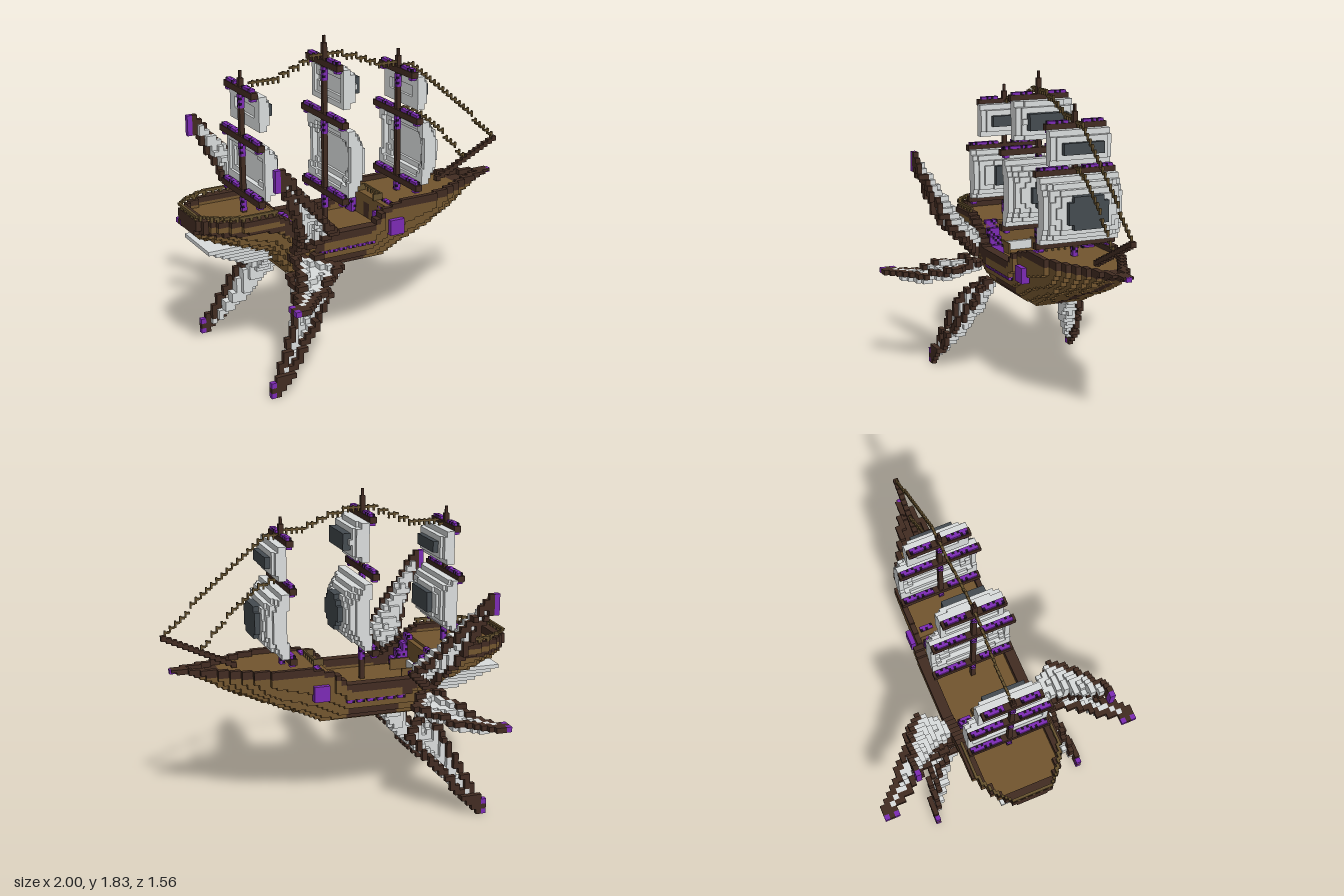
import * as THREE from 'three';
import { mergeGeometries } from 'three/addons/utils/BufferGeometryUtils.js';

const mat = (name, color) => Object.assign(new THREE.MeshStandardMaterial({ color }), { name });
const M = {
  plank: mat('plank brown', 0x73562f),
  dark: mat('dark timber', 0x422c22),
  cloth: mat('pale cloth', 0xdbdede),
  slate: mat('slate patch', 0x454c51),
  purple: mat('purple trim', 0x7d2bb6),
  black: mat('black fleck', 0x1c0f24),
  rope: mat('rope', 0x66522f),
};
const V = 0.03;

// Collects boxes by colour and turns them into one mesh per colour
function blocks(name, fill) {
  const lists = {};
  fill((c, x0, x1, y0, y1, z0, z1) => {
    const g = new THREE.BoxGeometry(x1 - x0, y1 - y0, z1 - z0);
    g.translate((x0 + x1) / 2, (y0 + y1) / 2, (z0 + z1) / 2);
    (lists[c] ||= []).push(g);
  });
  const group = new THREE.Group();
  group.name = name;
  for (const c in lists) {
    const mesh = new THREE.Mesh(mergeGeometries(lists[c]), M[c]);
    mesh.name = `${name} ${M[c].name}`;
    group.add(mesh);
  }
  return group;
}

// Fills a box with small blocks, chosen by a rule and joined into runs along x
function voxels(name, lo, hi, s, pick) {
  const n = lo.map((l, a) => Math.round((hi[a] - l) / s[a]));
  return blocks(name, (box) => {
    for (let k = 0; k < n[2]; k++) for (let j = 0; j < n[1]; j++) {
      const y = lo[1] + j * s[1], z = lo[2] + k * s[2];
      let start = 0, last = null;
      for (let i = 0; i <= n[0]; i++) {
        const c = i < n[0] ? pick(lo[0] + (i + 0.5) * s[0], y + s[1] / 2, z + s[2] / 2, i, j, k) : null;
        if (c === last) continue;
        if (last) box(last, lo[0] + start * s[0], lo[0] + i * s[0], y, y + s[1], z, z + s[2]);
        start = i;
        last = c;
      }
    }
  });
}

// Purple block speckled with black
const speckled = (name, lo, hi) => voxels(name, lo, hi, [0.015, 0.015, 0.015],
  (x, y, z, i, j, k) => ((i * 2 + j * 4 + k * 3) % 7 < 2 ? 'black' : 'purple'));

function table(rows, x) {
  if (x <= rows[0][0]) return rows[0][1];
  for (let i = 1; i < rows.length; i++) {
    const [a, p] = rows[i - 1], [b, q] = rows[i];
    if (x <= b) return p + (q - p) * (x - a) / (b - a);
  }
  return rows[rows.length - 1][1];
}

// Hull lines along the length
const top = (x) => table([[-0.58, 0.95], [-0.36, 0.78], [0, 0.78], [0.06, 0.85], [0.2, 0.885]], x);
const bottom = (x) => table([[-1, 0.87], [-0.95, 0.83], [-0.8, 0.78], [-0.6, 0.71], [-0.5, 0.6], [-0.47, 0.545],
  [0.12, 0.545], [0.25, 0.6], [0.49, 0.7], [0.7, 0.78], [0.82, 0.85], [0.95, 0.87]], x);
const plan = (x) => table([[-1, 0.11], [-0.94, 0.18], [-0.85, 0.23], [-0.77, 0.257], [0.08, 0.257], [0.12, 0.24],
  [0.42, 0.235], [0.57, 0.18], [0.66, 0.13], [0.83, 0.06], [0.95, 0.02]], x);
const deck = (x) => (x < -0.5 ? 0.9 : x < 0.1 ? 0.72 : 0.857);
function half(x, y) {
  const u = Math.max(0, (y - bottom(x)) / (top(x) - bottom(x)));
  return plan(x) * Math.min(1, 0.48 + 0.64 * Math.sqrt(u));
}

function hullRule(x, y, z) {
  const w = half(x, y), a = Math.abs(z), d = deck(x);
  if (y < bottom(x) || y > top(x) || a > Math.max(w, 0.016)) return null;
  const rim = a > w - 0.035 || x < -0.94;
  if (y > d && !rim) return null;
  if (rim && y > top(x) - 0.035) return 'dark';
  if (x < -0.94 && y > d - 0.03) return 'dark';
  if (x > 0.68 && y > 0.85) return 'dark';
  if (x > 0.1 && a < 0.016 && y < 0.82) return 'dark';
  if (x > -0.305 && x < -0.02 && y > 0.565 && y < 0.635) return 'dark';
  if (x > -0.56 && x < -0.3 && y > top(x) - 0.08 && rim) return 'dark';
  if (x < -0.5 && y > 0.86 && y < 0.89 && rim) return 'dark';
  return 'plank';
}

// Sail bulging towards the bow, with a flat octagonal slate patch on its belly
function sail(x0, y0, y1, hw, depth) {
  const yc = (y0 + y1) / 2, hy = (y1 - y0) / 2, py = hy * 0.48;
  const s = [0.015, (y1 - y0) / Math.round((y1 - y0) / V), hw / Math.round(hw / V)];
  return voxels('sail', [x0, y0, -hw], [x0 + 0.21, y1, hw], s, (x, y, z) => {
    const u = Math.abs(y - yc) / hy, w = z / hw;
    const b = Math.floor(depth * (1 - u ** 3) * (1 - 0.5 * w ** 4) / 0.015) * 0.015;
    const t = x - x0 - b, front = x - x0 - depth;
    const a = Math.abs(z) / 0.112, h = Math.abs(y - yc) / py;
    if (a < 1 && h < 1 && a + h < 1.55 && front > 0 && front < 0.04) return 'slate';
    return t > -0.04 && t < 0.025 ? 'cloth' : null;
  });
}

// Mast with yards and two sails
function mast(x, base, tip, yards, sails) {
  const g = new THREE.Group();
  g.name = 'mast';
  g.add(blocks('mast pole', (box) => {
    box('dark', x - 0.0135, x + 0.0135, base, tip - 0.04, -0.0135, 0.0135);
    box('dark', x - 0.007, x + 0.007, tip - 0.04, tip, -0.007, 0.007);
    for (const [y, hw] of yards) {
      box('dark', x - 0.02, x + 0.02, y - 0.02, y + 0.015, -hw, hw);
      for (const s of [-1, 1]) box('purple', x - 0.016, x + 0.016, y - 0.035, y - 0.02, s * hw * 0.85 - 0.015, s * hw * 0.85 + 0.015);
    }
  }));
  for (const [y, hw] of yards) {
    for (const s of [-1, 1]) {
      const z = s * (hw / 2 + 0.015), l = hw / 2 - 0.03;
      g.add(speckled('yard trim', [x - 0.015, y + 0.015, z - l], [x + 0.015, y + 0.03, z + l]));
    }
    g.add(speckled('mast band', [x - 0.015, y - 0.105, -0.015], [x + 0.015, y - 0.03, 0.015]));
  }
  for (const s of sails) g.add(sail(x + 0.02, ...s));
  return g;
}

// Wing: a span curve in y and z, filled between two dark edge lines in x, the cloth cambered inwards
function wing(name, side, span, corner, [camberY, camberZ]) {
  const curve = new THREE.CatmullRomCurve3(span.map(([y, z]) => new THREE.Vector3(0, y, z)));
  const left = [[0, -0.5], [0.3, -0.54], [0.6, -0.62], [1, -0.75]];
  const right = [[0, -0.45], [corner, -0.31], [1, -0.69]];
  const cells = new Map();
  for (let n = 0; n <= 160; n++) {
    const t = n / 160, p = curve.getPointAt(t);
    const i0 = Math.round(table(left, t) / V), i1 = Math.max(i0 + 2, Math.round(table(right, t) / V));
    const put = (c, i, f) => {
      const j = Math.floor((p.y + camberY * f) / V), k = Math.floor((p.z + camberZ * f) / V);
      const key = `${i},${j},${k}`;
      if (c !== 'cloth' || !cells.has(key)) cells.set(key, { i, j, k, c });
    };
    const taper = Math.min(1, 0.4 + 3 * t, 2.2 * (1 - t));
    for (let i = i0 + 1; i < i1 - 1; i++) {
      for (const e of [0, 0.5, 1]) put('cloth', i, taper * Math.sin(Math.PI * (i + e - i0) / (i1 - i0)));
    }
    put('dark', i0, 0);
    put('dark', i1 - 1, 0);
    if (t > 0.975) put('purple', i0, 0);
    if (t > 0.9 && t < 0.93) put('purple', i0 - 1, 0);
  }
  return blocks(name, (box) => {
    for (const { i, j, k, c } of cells.values()) {
      const z = side > 0 ? k * V : -(k + 1) * V;
      box(c, i * V, (i + 1) * V, j * V, (j + 1) * V, z, z + V);
    }
  });
}

// Stepped rope with little hanging posts
const rope = (pts) => blocks('rigging rope', (box) => {
  const x0 = pts[0][0], x1 = pts[pts.length - 1][0], n = Math.round((x1 - x0) / V), d = (x1 - x0) / n;
  for (let i = 0; i < n; i++) {
    const x = x0 + i * d, y = Math.round(table(pts, x + d / 2) / 0.025) * 0.025;
    box('rope', x, x + d, y - 0.006, y + 0.006, -0.007, 0.007);
    box('rope', x + d - 0.01, x + d, y - 0.025, y + 0.012, -0.006, 0.006);
  }
});

export function createModel() {
  const ship = new THREE.Group();
  ship.name = 'winged sailing ship';
  ship.add(voxels('hull', [-1, 0.545, -0.27], [0.95, 0.95, 0.27], [V, 0.015, V], hullRule));

  // Fence around the stern deck
  ship.add(voxels('stern fence', [-1, 0.95, -0.27], [-0.58, 0.98, 0.27], [0.015, 0.015, 0.015], (x, y, z, i, j, k) => {
    const w = plan(x), a = Math.abs(z);
    if (a > w || (a < w - 0.02 && x > -0.985)) return null;
    return j || (i + k) % 3 === 0 ? 'rope' : null;
  }));

  // Pale stepped slats under the stern
  ship.add(blocks('stern slats', (box) => {
    for (let i = 0; i < 6; i++) {
      const y = 0.755 - i * 0.022, w = 0.16 - i * 0.01;
      box('cloth', -0.95 + i * 0.045, -0.47, y, y + 0.022, -w, w);
    }
  }));

  // Bowsprit and bow tip
  ship.add(blocks('bowsprit', (box) => {
    for (let i = 0; i < 14; i++) {
      const x = 0.58 + i * 0.03, y = 0.868 + i * 0.0143;
      box('dark', x, x + 0.03, y, y + 0.03, -0.015, 0.015);
    }
    box('dark', 0.85, 0.94, 0.865, 0.89, -0.015, 0.015);
    box('purple', 0.93, 0.96, 0.865, 0.89, -0.016, 0.016);
  }));

  // Low rail across the fore deck edge
  ship.add(blocks('fore deck rail', (box) => {
    box('rope', 0.15, 0.16, 0.885, 0.897, -0.1, 0.1);
    for (let i = 0; i < 6; i++) box('rope', 0.15, 0.16, 0.857, 0.885, -0.1 + i * 0.038, -0.09 + i * 0.038);
  }));

  // Side boxes, gun ports, stairs, stair rails and wings on both sides
  for (const s of [-1, 1]) {
    const span = (a, b) => (s > 0 ? [a, b] : [-b, -a]);
    const add = (name, x0, x1, y0, y1, a, b) => {
      const [z0, z1] = span(a, b);
      ship.add(speckled(name, [x0, y0, z0], [x1, y1, z1]));
    };
    for (let i = 0; i < 4; i++) {
      add('stern stair', -0.52 + i * 0.03, -0.49 + i * 0.03, 0.72, 0.915 - i * 0.045, 0.12, 0.195);
      if (i < 3) add('fore stair', 0.08 + i * 0.03, 0.11 + i * 0.03, 0.72, 0.81 + i * 0.03, 0.12, 0.195);
    }
    ship.add(blocks('side box', (box) => box('purple', 0.115, 0.205, 0.7, 0.79, ...span(0.22, 0.268))));
    ship.add(blocks('stair rail', (box) => {
      box('plank', -0.5, -0.37, 0.72, 0.79, ...span(0.09, 0.1));
      box('rope', 0.1, 0.15, 0.857, 0.897, ...span(0.09, 0.1));
    }));
    for (let i = 0; i < 6; i++) add('gun port', -0.33 + i * 0.06, -0.285 + i * 0.06, 0.675, 0.72, 0.22, 0.265);

    ship.add(wing('upper wing', s, [[0.73, 0.26], [0.8, 0.34], [0.9, 0.44], [1.06, 0.51], [1.29, 0.56]], 0.3, [0.03, -0.06]));
    ship.add(wing('middle wing', s, [[0.69, 0.22], [0.685, 0.42], [0.655, 0.52], [0.62, 0.6], [0.62, 0.77]], 0.42, [-0.05, 0]));
    ship.add(wing('lower wing', s, [[0.56, 0.19], [0.5, 0.31], [0.36, 0.385], [0.18, 0.435], [0.012, 0.475]], 0.28, [-0.03, -0.07]));
  }

  // Three masts, stern to bow
  ship.add(mast(-0.665, 0.88, 1.7, [[1.6, 0.17], [1.33, 0.24], [1.02, 0.24]],
    [[1.4, 1.59, 0.18, 0.065], [1.03, 1.32, 0.235, 0.09]]));
  ship.add(mast(-0.16, 0.7, 1.83, [[1.685, 0.18], [1.38, 0.24], [0.945, 0.24]],
    [[1.45, 1.67, 0.18, 0.09], [0.96, 1.34, 0.235, 0.12]]));
  ship.add(mast(0.315, 0.84, 1.7, [[1.585, 0.18], [1.335, 0.24], [0.94, 0.24]],
    [[1.38, 1.57, 0.18, 0.065], [0.955, 1.32, 0.235, 0.12]]));

  // Rigging along the centre line
  ship.add(rope([[-0.65, 1.61], [-0.45, 1.63], [-0.3, 1.69], [-0.16, 1.74]]));
  ship.add(rope([[-0.16, 1.74], [0, 1.7], [0.16, 1.64], [0.315, 1.61]]));
  ship.add(rope([[0.33, 1.61], [0.43, 1.59], [0.56, 1.47], [0.76, 1.29], [0.98, 1.09]]));
  ship.add(rope([[0.33, 1.35], [0.44, 1.32], [0.58, 1.2], [0.78, 0.99]]));
  return ship;
}
